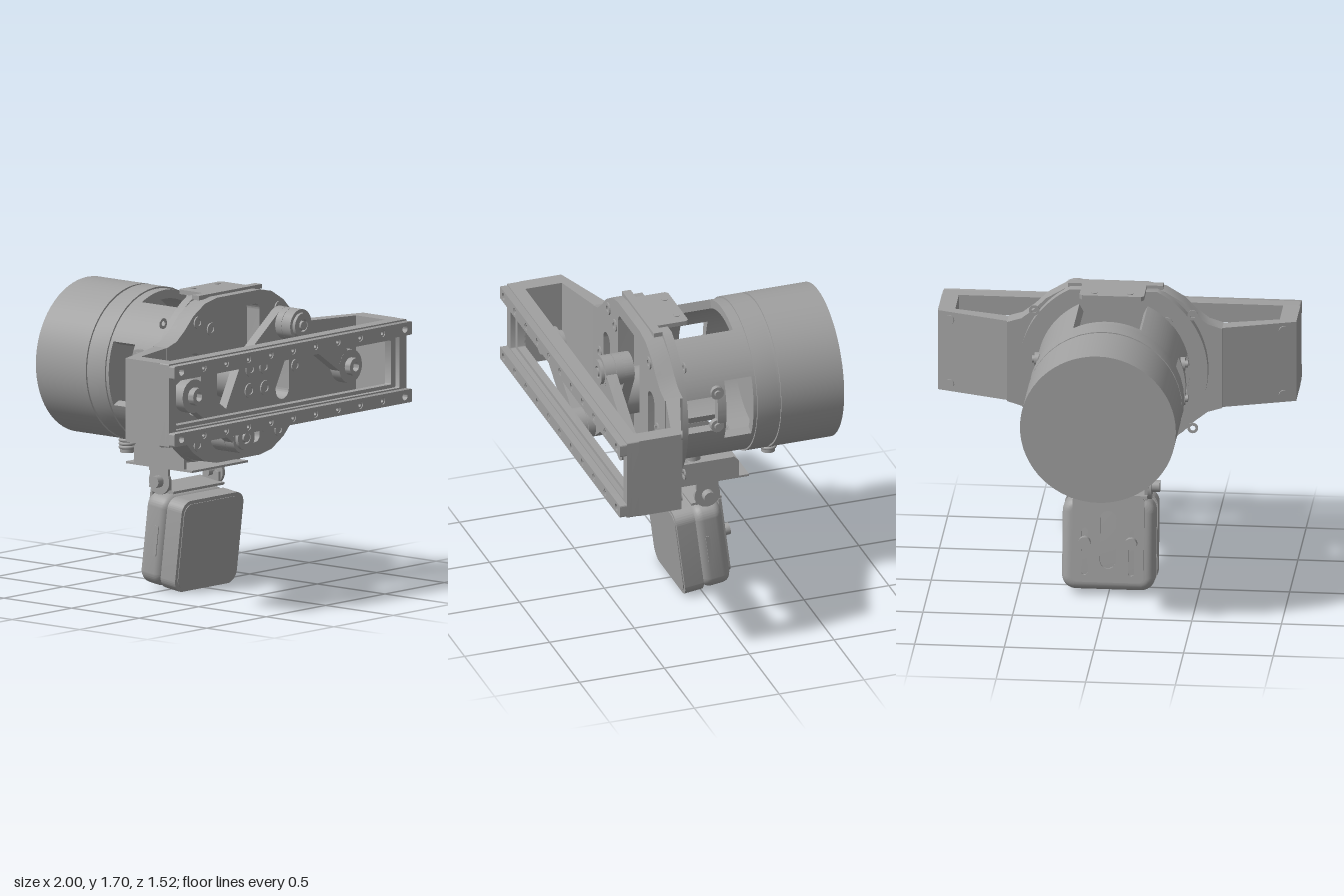
import * as THREE from 'three';
import { toCreasedNormals } from 'three/addons/utils/BufferGeometryUtils.js';

const CY = 1.225; // height of the main axis

export function createModel() {
  const model = new THREE.Group();
  const grey = new THREE.MeshStandardMaterial({ color: 0xa0a0a0 });
  grey.name = 'machined grey';

  const add = (name, geo, parent = model) => {
    const mesh = new THREE.Mesh(geo, grey);
    mesh.name = name;
    parent.add(mesh);
    return mesh;
  };
  const box = (name, w, h, d, x, y, z, parent) =>
    add(name, new THREE.BoxGeometry(w, h, d).translate(x, y, z), parent);
  const cyl = (name, r, len, axis, x, y, z, parent, sides = 28) => {
    const g = new THREE.CylinderGeometry(r, r, len, sides);
    if (axis === 'z') g.rotateX(Math.PI / 2);
    if (axis === 'x') g.rotateZ(Math.PI / 2);
    return add(name, g.translate(x, y, z), parent);
  };
  // Plate in the xy plane between two z depths
  const plate = (name, shape, z0, z1, parent) => {
    const g = new THREE.ExtrudeGeometry(shape, { depth: z1 - z0, bevelEnabled: false, curveSegments: 20 });
    return add(name, toCreasedNormals(g.translate(0, 0, z0), 0.6), parent);
  };
  // Plan outline given as [x, z], raised between two heights
  const slab = (name, pts, y0, y1, parent) => {
    const s = new THREE.Shape(pts.map(([x, z]) => new THREE.Vector2(x, -z)));
    const g = new THREE.ExtrudeGeometry(s, { depth: y1 - y0, bevelEnabled: false });
    return add(name, g.rotateX(-Math.PI / 2).translate(0, y0, 0), parent);
  };
  const roundRect = (x0, y0, x1, y1, r, Type = THREE.Shape) => {
    const s = new Type(), H = Math.PI / 2;
    s.absarc(x1 - r, y0 + r, r, -H, 0);
    s.absarc(x1 - r, y1 - r, r, 0, H);
    s.absarc(x0 + r, y1 - r, r, H, 2 * H);
    s.absarc(x0 + r, y0 + r, r, 2 * H, 3 * H);
    s.closePath();
    return s;
  };
  // Tapered link around two pivots
  const link = (name, ax, ay, r1, bx, by, r2, z0, z1) => {
    const L = Math.hypot(bx - ax, by - ay), a = Math.acos((r1 - r2) / L);
    const s = new THREE.Shape();
    s.absarc(L, 0, r2, -a, a);
    s.absarc(0, 0, r1, a, 2 * Math.PI - a);
    s.closePath();
    const m = plate(name, s, z0, z1);
    m.position.set(ax, ay, 0);
    m.rotation.z = Math.atan2(by - ay, bx - ax);
  };
  // Socket head: raised ring round a recessed hole
  const socket = (name, r, x, y, z0, z1, parent) => {
    const s = new THREE.Shape().absarc(0, 0, r, 0, Math.PI * 2);
    s.holes.push(new THREE.Path().absarc(0, 0, r * 0.5, 0, Math.PI * 2));
    const m = plate(name, s, z0, z1, parent);
    m.position.set(x, y, 0);
    return m;
  };

  // Motor housing: curved wall in sectors, leaving service windows open
  const wall = (a0, a1, z0, z1) => {
    const s = new THREE.Shape();
    s.absarc(0, 0, 0.425, a0, a1);
    s.absarc(0, 0, 0.375, a1, a0, true);
    s.closePath();
    plate('housingWall', s, z0, z1).position.y = CY;
  };
  const H = Math.PI / 2, top = 0.464, win = 0.436;
  for (const base of [0, Math.PI]) {
    wall(base + win, base + H - top, -0.39, 0.19);
    wall(base - H + top, base - win, -0.39, 0.19);
    wall(base - win, base + win, -0.39, -0.23);
    wall(base - win, base + win, -0.07, -0.02);
    wall(base - win, base + win, 0.18, 0.19);
    wall(base + 0.25, base + win, -0.02, 0.18);
    wall(base - win, base - 0.25, -0.02, 0.18);
  }
  wall(H - top, H + top, -0.39, -0.19);
  wall(-H - top, -H + top, -0.39, -0.255);
  for (const s of [-1, 1]) for (const y of [1.145, 1.35]) {
    const b = cyl('windowScrew', 0.038, 0.03, 'x', s * 0.405, y, -0.02);
    b.scale.x = 1;
    cyl('windowScrewTip', 0.02, 0.03, 'x', s * 0.42, y, -0.02);
  }
  const collar = new THREE.Shape().absarc(0, CY, 0.435, 0, Math.PI * 2);
  collar.holes.push(new THREE.Path().absarc(0, CY, 0.38, 0, Math.PI * 2));
  plate('collar', collar, -0.375, -0.25);
  cyl('endCap', 0.435, 0.37, 'z', 0, CY, -0.575, model, 64);

  // Cable gland under the end cap
  cyl('cableGland', 0.04, 0.1, 'y', 0, 0.755, -0.465);
  for (let i = 0; i < 4; i++) {
    add('glandThread', new THREE.TorusGeometry(0.04, 0.01, 8, 24).rotateX(H).translate(0, 0.735 + i * 0.02, -0.465));
  }

  // Round flange with flattened top and bottom
  const flange = new THREE.Shape(), fa = Math.asin(0.465 / 0.525);
  flange.absarc(0, CY, 0.525, -fa, fa);
  flange.absarc(0, CY, 0.525, Math.PI - fa, Math.PI + fa);
  flange.closePath();
  plate('flange', flange, 0.19, 0.243);

  // Front mounting plate with centre recess and oblong slots
  const half = [[0.6, 1.46], [0.52, 1.485], [0.45, 1.54], [0.38, 1.61], [0.28, 1.67], [0.18, 1.69]];
  const mid = [...half, ...half.map(([x, y]) => [-x, y]).reverse()];
  const edge = [...mid, ...mid.map(([x, y]) => [x, 2 * CY - y]).reverse()];
  const mount = new THREE.Shape(edge.map(([x, y]) => new THREE.Vector2(x, y)));
  mount.holes.push(roundRect(-0.18, 0.835, 0.18, 1.615, 0.04, THREE.Path));
  for (const s of [-1, 1]) {
    mount.holes.push(roundRect(s * 0.37 - 0.055, 1.05, s * 0.37 + 0.055, 1.4, 0.054, THREE.Path));
  }
  plate('mountingPlate', mount, 0.25, 0.355);
  cyl('flangeSpacer', 0.44, 0.03, 'z', 0, CY, 0.245, model, 48);
  for (const [x, y] of [[0.34, 1.57], [-0.34, 1.57], [0.34, 0.88], [-0.34, 0.88], [-0.23, 1.52], [0.22, 0.92], [0.48, CY], [-0.48, CY]]) {
    socket('plateScrew', 0.036, x, y, 0.355, 0.363);
    if (Math.abs(x) < 0.4) socket('flangeScrew', 0.03, x * 1.3, CY + (y - CY) * 0.97, 0.183, 0.19);
  }

  // Swept side wings, open above and below
  for (const s of [-1, 1]) {
    slab('wing', [[0.5, 0.25], [0.55, 0.25], [1, 0.4], [1, 0.65], [0.905, 0.65], [0.905, 0.43], [0.6, 0.35], [0.5, 0.35]]
      .map(([x, z]) => [s * x, z]), 0.99, 1.46);
    for (const y of [1.035, 1.415]) {
      const g = new THREE.CylinderGeometry(0.026, 0.026, 0.012, 20).rotateX(H);
      const m = add('wingScrew', g);
      m.position.set(s * 0.93, y, 0.375);
      m.rotation.y = -s * Math.atan2(0.15, 0.45);
    }
  }
  // Front window frame and the two bolted rails
  for (const [x, y, z0, z1] of [[0.905, 0.125, 0.645, 0.69], [0.94, 0.145, 0.69, 0.72]]) {
    const f = roundRect(-1, 0.99, 1, 1.46, 0.006);
    f.holes.push(roundRect(-x, CY - y, x, CY + y, 0.006, THREE.Path));
    plate('frontFrame', f, z0, z1);
  }
  for (const y of [1.035, 1.415]) {
    const rail = roundRect(-1, y - 0.037, 1, y + 0.037, 0.008);
    for (let i = 0; i < 11; i++) {
      const x = -0.94 + i * 0.188;
      rail.holes.push(new THREE.Path().absarc(x, y, 0.021, 0, Math.PI * 2));
      if (i % 10) socket('railBolt', 0.02, x, y, 0.72, 0.757);
    }
    plate('rail', rail, 0.72, 0.762);
  }

  // Output hub and diagonal crank
  cyl('hub', 0.13, 0.24, 'z', 0, CY, 0.34, model, 40);
  for (const s of [-1, 1]) {
    const px = s * 0.24, py = CY + s * 0.285, ex = s * 0.66;
    link('crank', 0, CY, 0.17, px, py, 0.09, 0.437, 0.495);
    cyl('crankPad', 0.09, 0.05, 'z', px, py, 0.515);
    // Connecting arm between crank pin and frame pin
    link('arm', px, py, 0.065, ex, CY, 0.065, 0.542, 0.605);
    cyl('armEye', 0.09, 0.064, 'z', px, py, 0.574);
    cyl('armEye', 0.095, 0.064, 'z', ex, CY, 0.574);
    socket('crankPin', 0.07, px, py, 0.605, 0.625);
    cyl('crankPinCore', 0.025, 0.03, 'z', px, py, 0.615);
    socket('framePin', 0.05, ex, CY, 0.605, 0.645);
    cyl('framePinHead', 0.07, 0.022, 'z', ex, CY, 0.522);
    cyl('framePinNeck', 0.055, 0.02, 'z', ex, CY, 0.537);
    for (const [x, y] of [[0.065, -0.057], [0.058, 0.063]]) socket('hubBolt', 0.042, s * x, CY + y, 0.495, 0.503);
  }

  // Tab plate on top
  const tab = slab('topTab', [[-0.27, 0.3], [0.26, 0.3], [0.26, 0.25], [0.18, 0.25], [0.18, 0.08], [0.165, 0.065],
    [-0.165, 0.065], [-0.18, 0.08], [-0.18, 0.25], [-0.27, 0.25]], 1.68, 1.705);
  for (const s of [-1, 1]) cyl('tabScrew', 0.018, 0.006, 'y', s * 0.1, 0.026 + 1.68, 0.11, tab);

  // Lower mount tray
  box('mountTray', 0.47, 0.012, 0.49, 0, 0.7, -0.025);
  for (const s of [-1, 1]) {
    const cheek = new THREE.Shape([[0.16, 0.7], [0.16, 0.83], [-0.18, 0.83], [-0.21, 0.8], [-0.21, 0.7]]
      .map(([z, y]) => new THREE.Vector2(-z, y)));
    const c = plate('trayCheek', cheek, -0.01, 0.01);
    c.rotation.y = H;
    c.position.x = s * 0.225;
    cyl('trayBolt', 0.034, 0.04, 'y', s * 0.125, 0.677, -0.15);
    cyl('trayBoltHead', 0.036, 0.03, 'y', s * 0.125, 0.72, -0.15);
    // Hinge ears and screws
    cyl('hingeEar', 0.075, 0.02, 'x', s * 0.225, 0.62, -0.025);
    box('hingeUpper', 0.02, 0.09, 0.13, s * 0.225, 0.66, -0.025);
    box('hingeLower', 0.016, 0.07, 0.12, s * 0.207, 0.59, -0.025);
    cyl('hingeScrew', 0.034, 0.045, 'x', s * 0.257, 0.62, -0.025);
    cyl('hingePin', 0.02, 0.07, 'x', s * 0.2, 0.62, -0.025);
  }
  cyl('trayKnob', 0.045, 0.07, 'y', 0, 0.735, -0.02);
  box('trayBracket', 0.3, 0.03, 0.12, 0, 0.72, -0.04);

  // Tilted square unit hanging from the hinge
  const unit = new THREE.Group();
  unit.name = 'hangingUnit';
  unit.position.set(0, 0.283, 0.003);
  unit.rotation.x = 0.124;
  model.add(unit);
  plate('unitFront', roundRect(-0.26, -0.262, 0.26, 0.262, 0.07), 0.032, 0.138, unit);
  plate('unitFace', roundRect(-0.24, -0.242, 0.24, 0.242, 0.06), 0.138, 0.142, unit);
  plate('unitSeam', roundRect(-0.255, -0.257, 0.255, 0.257, 0.065), 0.026, 0.032, unit);
  const rear = new THREE.ExtrudeGeometry(roundRect(-0.21, -0.212, 0.21, 0.212, 0.03),
    { depth: 0.066, bevelSize: 0.05, bevelThickness: 0.05, bevelSegments: 6, curveSegments: 10 });
  add('unitRear', toCreasedNormals(rear.translate(0, 0, -0.09), 0.7), unit);

  // Slotted back strap with bolts
  const strap = roundRect(-0.2, -0.21, 0.2, 0.285, 0.03);
  strap.holes.push(roundRect(-0.045, -0.13, 0.045, 0.2, 0.044, THREE.Path));
  for (const s of [-1, 1]) {
    strap.holes.push(roundRect(s * 0.13 - 0.017, -0.17, s * 0.13 + 0.017, 0.1, 0.0165, THREE.Path));
    cyl('strapBolt', 0.034, 0.04, 'z', s * 0.13, 0.02, -0.175, unit);
    box('sideRib', 0.008, 0.17, 0.025, s * 0.26, 0, -0.03, unit);
  }
  plate('strap', strap, -0.155, -0.138, unit);
  box('strapTop', 0.43, 0.014, 0.18, 0, 0.283, -0.065, unit);

  return model;
}
